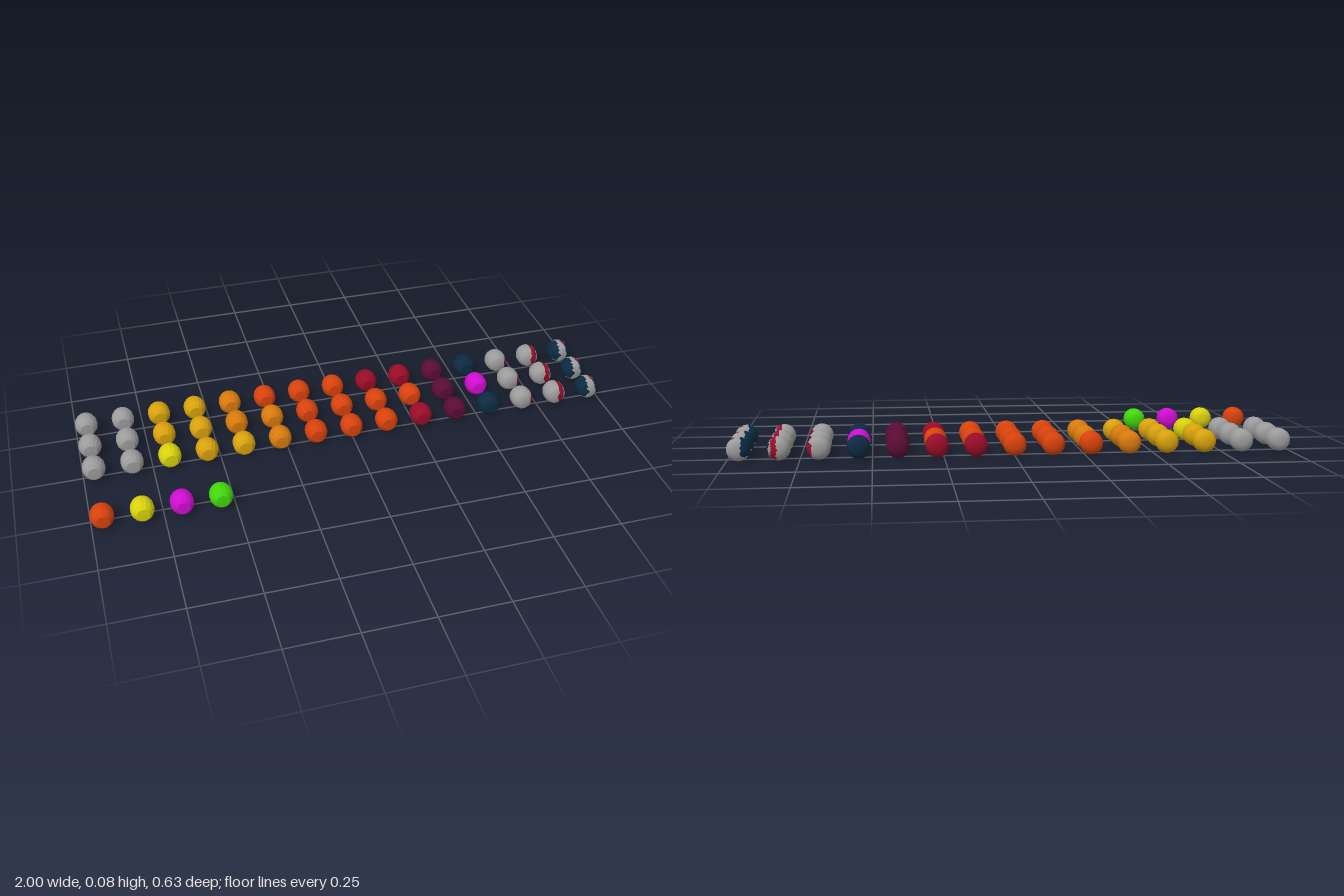
import * as THREE from 'three';
import { mergeVertices } from 'three/addons/utils/BufferGeometryUtils.js';

const PITCH = 0.137, R = 0.0415, CENTRE_Y = 0.0425;

const COLOURS = {
  grey: 0x9c9c9c, yellow: 0xd8d20c, gold: 0xd8a20c, orange: 0xd87a0c, vermilion: 0xd8420c,
  crimson: 0x990c28, maroon: 0x5a0c34, navy: 0x0c2a42, magenta: 0xd00cd0, green: 0x42d80c,
};

// Barrel profiles as [radius, depth]
const BACK = [[0, -0.0405], [0.012, -0.04], [0.025, -0.0375], [0.035, -0.0285], [0.0405, -0.015], [R, 0]];
const FRONT = [[R, 0], [0.0405, 0.015], [0.035, 0.0285], [0.024, 0.0395], [0, 0.0405]];

function barrel(profile, sides) {
  const points = profile.map(([r, d]) => new THREE.Vector2(r, d));
  return new THREE.LatheGeometry(points, sides).rotateX(Math.PI / 2);
}

function facet(geometry) {
  const flat = geometry.toNonIndexed();
  flat.computeVertexNormals();
  return flat;
}

// Patch rules for the three multi-coloured columns: 0 grey, 1 crimson, 2 navy
const PATCHES = [
  (x, y) => (x > 0.55 && y < 0.45 && y > -0.7 ? 1 : 0),
  (x, y) => (x > 0.75 ? 2 : x > 0.15 && x < 0.6 && y > -0.75 ? 1 : 0),
  (x, y, z) => {
    if (x < -0.25 && y > -0.5) return 2;
    if (x > 0.3 && Math.abs(y) > 0.8) return 1;
    return x > 0.4 && z > -0.05 ? 2 : 0;
  },
];

// Sort the triangles of a bead into material groups by direction
function patchedBead(rule) {
  const smooth = barrel([...BACK, ...FRONT.slice(1)], 32);
  const position = smooth.attributes.position;
  const centre = new THREE.Vector3(), corner = new THREE.Vector3();
  const buckets = [[], [], []];
  for (let i = 0; i < smooth.index.count; i += 3) {
    const corners = [0, 1, 2].map((k) => smooth.index.getX(i + k));
    centre.set(0, 0, 0);
    for (const c of corners) centre.add(corner.fromBufferAttribute(position, c));
    centre.normalize();
    buckets[rule(centre.x, centre.y, centre.z)].push(...corners);
  }
  smooth.setIndex(buckets.flat());
  let start = 0;
  buckets.forEach((bucket, m) => {
    smooth.addGroup(start, bucket.length, m);
    start += bucket.length;
  });
  return smooth;
}

export function createModel() {
  const model = new THREE.Group();
  model.name = 'beadSet';
  const mats = {};
  for (const [name, color] of Object.entries(COLOURS)) {
    mats[name] = new THREE.MeshStandardMaterial({ color });
    mats[name].name = name;
  }

  // Plain bead: smooth back, faceted front
  const backHalf = mergeVertices(barrel(BACK, 16));
  const frontHalf = facet(barrel(FRONT, 16));
  const place = (object, name, column, z) => {
    object.name = name;
    object.position.set((column - 7) * PITCH, CENTRE_Y, z);
    model.add(object);
  };
  const plainBead = (colour, column, z) => {
    const bead = new THREE.Group();
    for (const [name, geometry] of [['beadBack', backHalf], ['beadFront', frontHalf]]) {
      const half = new THREE.Mesh(geometry, mats[colour]);
      half.name = name;
      bead.add(half);
    }
    place(bead, colour + 'Bead', column, z);
  };

  // Three long rows, front to back
  const rows = [
    'grey grey yellow gold gold orange vermilion vermilion vermilion crimson maroon navy',
    'grey grey gold gold orange orange vermilion vermilion vermilion vermilion maroon magenta',
    'grey grey gold gold orange vermilion vermilion vermilion crimson crimson maroon navy',
  ];
  const patched = PATCHES.map(patchedBead);
  const patchMats = [mats.grey, mats.crimson, mats.navy];
  rows.forEach((row, r) => {
    row.split(' ').forEach((colour, column) => plainBead(colour, column, -r * PITCH));
    patched.forEach((geometry, i) =>
      place(new THREE.Mesh(geometry, patchMats), 'patchedBead', 12 + i, -r * PITCH));
  });

  // Short row set apart at the front
  ['vermilion', 'yellow', 'magenta', 'green'].forEach((colour, column) =>
    plainBead(colour, column, 2 * PITCH));

  return model;
}
